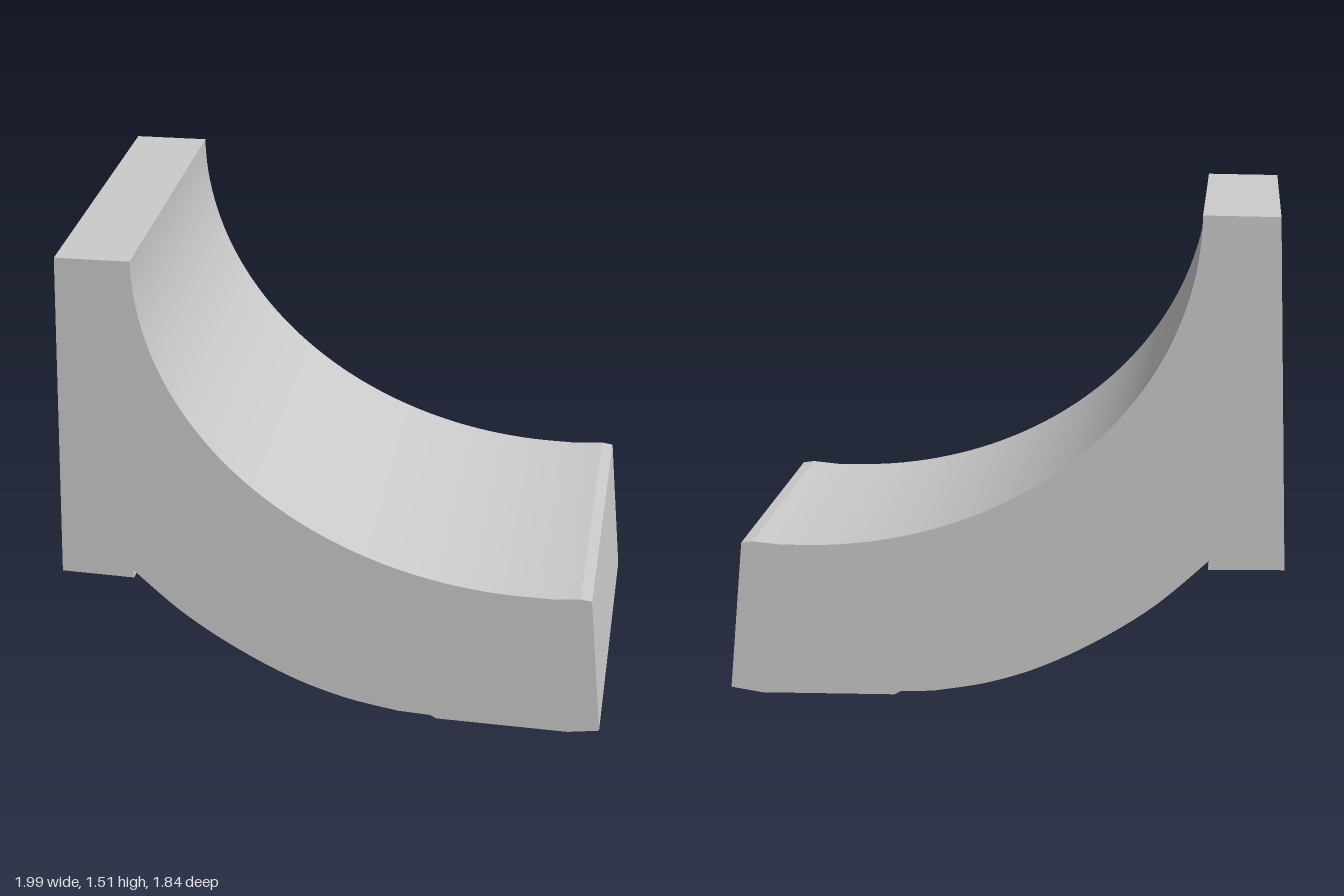
import * as THREE from 'three';
import { toCreasedNormals } from 'three/addons/utils/BufferGeometryUtils.js';

const WIDTH = 1.046;

// Side profile: x runs from the back plate to the front toe, y is up
function sideProfile() {
  const s = new THREE.Shape();
  // back plate, tapering slightly towards the top
  s.moveTo(-0.625, 0.435);
  s.lineTo(-0.855, 0.44);
  s.lineTo(-0.82, 1.508);
  s.lineTo(-0.592, 1.51);
  // concave upper sweep, a quarter ellipse
  s.absellipse(0.62, 1.51, 1.212, 1.03, Math.PI, Math.PI * 1.5, false, 0);
  // raised lip and leaning toe
  s.lineTo(0.68, 0.479);
  s.lineTo(0.77, 0.487);
  s.lineTo(0.805, 0.482);
  s.lineTo(0.848, 0.015);
  // foot with a chamfered toe and a small step at its rear
  s.lineTo(0.75, 0);
  s.lineTo(0.335, 0.007);
  s.lineTo(0.315, 0.018);
  s.lineTo(0.215, 0.023);
  // convex underside rising to the back plate
  s.splineThru([
    new THREE.Vector2(0.047, 0.055),
    new THREE.Vector2(-0.12, 0.112),
    new THREE.Vector2(-0.3, 0.205),
    new THREE.Vector2(-0.47, 0.32),
    new THREE.Vector2(-0.628, 0.463),
  ]);
  s.closePath();
  return s;
}

export function createModel() {
  const group = new THREE.Group();
  const geometry = new THREE.ExtrudeGeometry(sideProfile(), {
    depth: WIDTH, bevelEnabled: false, curveSegments: 40,
  });
  geometry.translate(0, 0, -WIDTH / 2);

  // curved block, turned diagonally on the ground
  const block = new THREE.Mesh(
    toCreasedNormals(geometry, 0.18),
    new THREE.MeshStandardMaterial({ color: 0xcccccc }),
  );
  block.name = 'curvedBlock';
  block.rotation.y = -0.615;
  group.add(block);
  return group;
}
